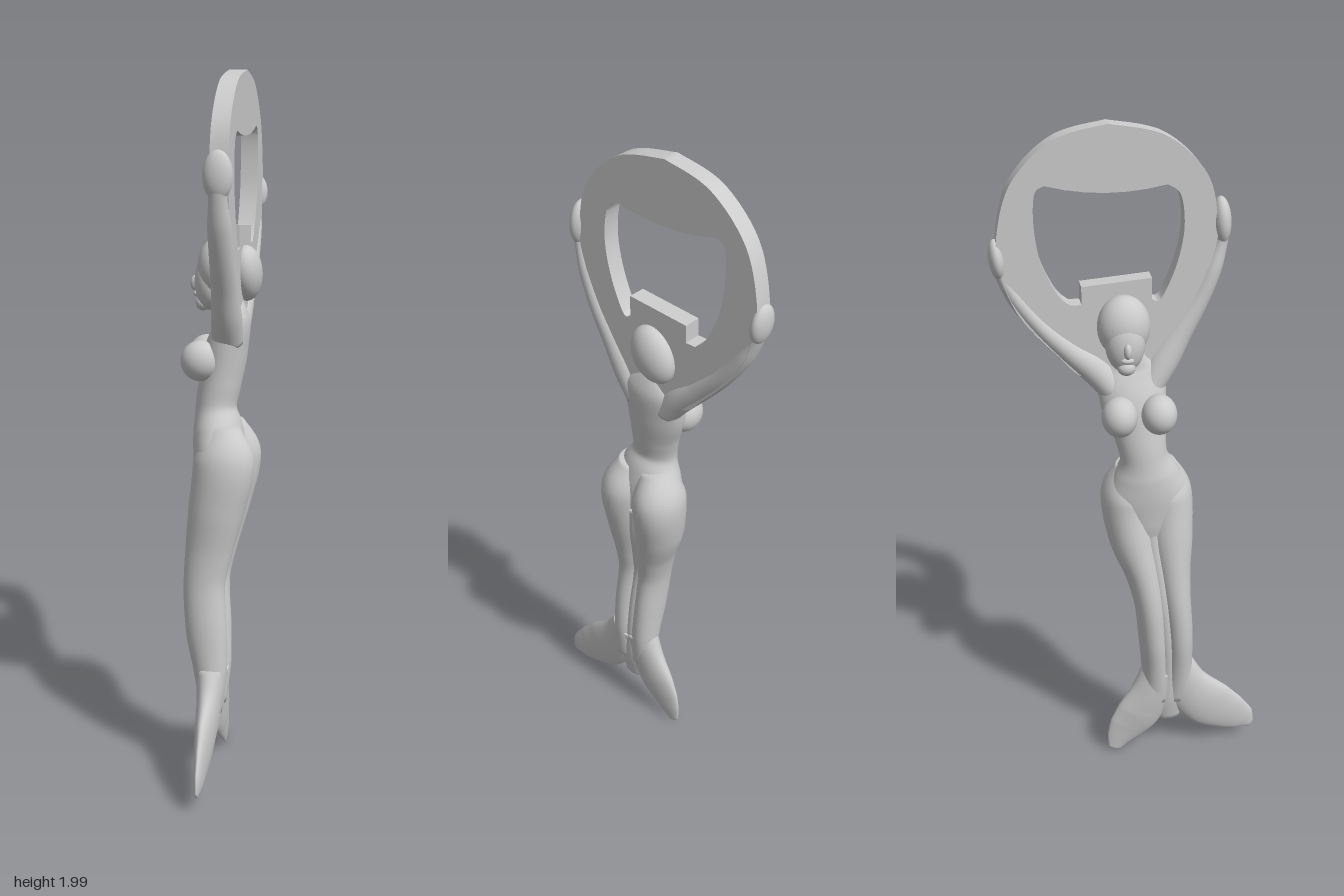
import * as THREE from 'three';
import { toCreasedNormals } from 'three/addons/utils/BufferGeometryUtils.js';

const material = new THREE.MeshStandardMaterial({ color: 0xcccccc });

function add(group, name, geometry) {
  const mesh = new THREE.Mesh(geometry, material);
  mesh.name = name;
  group.add(mesh);
  return mesh;
}

// Smooth body through elliptical sections [x, y, z, halfWidth, halfDepth]
function loft(sections, steps = 40, sides = 28) {
  const centre = new THREE.CatmullRomCurve3(sections.map(s => new THREE.Vector3(s[0], s[1], s[2])));
  const radii = new THREE.CatmullRomCurve3(sections.map(s => new THREE.Vector3(s[3], s[4], 0)));
  const depth = new THREE.Vector3(0, 0, 1);
  const pos = [], index = [];
  for (let i = -1; i <= steps + 1; i++) {
    const t = Math.min(Math.max(i / steps, 0), 1);
    const c = centre.getPoint(t);
    const r = radii.getPoint(t);
    if (i < 0 || i > steps) r.set(0, 0, 0); // closed ends
    const tangent = centre.getTangent(t);
    const side = tangent.clone().cross(depth).normalize();
    const front = side.clone().cross(tangent).normalize();
    for (let j = 0; j < sides; j++) {
      const a = (j / sides) * Math.PI * 2;
      const p = c.clone().addScaledVector(side, r.x * Math.cos(a)).addScaledVector(front, r.y * Math.sin(a));
      pos.push(p.x, p.y, p.z);
    }
  }
  for (let i = 0; i < steps + 2; i++) {
    for (let j = 0; j < sides; j++) {
      const a = i * sides + j, b = i * sides + (j + 1) % sides;
      index.push(a, a + sides, b, b, a + sides, b + sides);
    }
  }
  const g = new THREE.BufferGeometry();
  g.setAttribute('position', new THREE.Float32BufferAttribute(pos, 3));
  g.setIndex(index);
  g.computeVertexNormals();
  return g;
}

function ellipsoid(group, name, [x, y, z], [rx, ry, rz], tilt = 0) {
  const mesh = add(group, name, new THREE.SphereGeometry(1, 28, 20));
  mesh.position.set(x, y, z);
  mesh.scale.set(rx, ry, rz);
  mesh.rotation.z = tilt;
  return mesh;
}

const vec = p => new THREE.Vector2(p[0], p[1]);

// Egg-shaped opener ring with its shaped hole and prying tab
function openerRing(group) {
  const outline = [[-0.2, 1.965], [-0.31, 1.86], [-0.352, 1.72], [-0.345, 1.62], [-0.3, 1.5], [-0.2, 1.38],
    [-0.12, 1.31], [0.03, 1.31], [0.1, 1.4], [0.17, 1.52], [0.215, 1.63], [0.23, 1.72], [0.2, 1.86],
    [0.09, 1.965], [-0.06, 2.0]].map(vec);
  const shape = new THREE.Shape();
  shape.moveTo(-0.06, 2.0);
  shape.splineThru(outline);
  const hole = new THREE.Path();
  hole.moveTo(0.095, 1.84);
  hole.quadraticCurveTo(-0.07, 1.805, -0.225, 1.85);
  hole.splineThru([[-0.25, 1.83], [-0.255, 1.75], [-0.24, 1.65], [-0.2, 1.56], [-0.165, 1.525]].map(vec));
  hole.lineTo(-0.135, 1.525);
  hole.lineTo(-0.135, 1.575);
  hole.lineTo(0.055, 1.59);
  hole.lineTo(0.055, 1.53);
  hole.splineThru([[0.08, 1.53], [0.12, 1.62], [0.14, 1.72], [0.13, 1.81], [0.095, 1.84]].map(vec));
  shape.holes.push(hole);
  const g = new THREE.ExtrudeGeometry(shape, { depth: 0.05, bevelEnabled: false, curveSegments: 6 });
  g.translate(0, 0, -0.045);
  add(group, 'openerRing', toCreasedNormals(g, 0.6));
}

export function createModel() {
  const model = new THREE.Group();
  model.name = 'figureBottleOpener';
  const figure = new THREE.Group();
  figure.name = 'figure';
  figure.rotation.y = -0.927;
  model.add(figure);

  openerRing(figure);

  // Neck, chest, waist and hips
  add(figure, 'torso', loft([
    [-0.015, 1.43, 0.01, 0.03, 0.03], [-0.005, 1.37, -0.01, 0.045, 0.035], [0, 1.32, -0.018, 0.095, 0.047],
    [0.005, 1.24, 0, 0.093, 0.06], [0.02, 1.15, 0.015, 0.075, 0.06], [0.03, 1.08, 0.025, 0.067, 0.058],
    [0.038, 1.02, 0.018, 0.092, 0.07], [0.045, 0.94, 0.01, 0.122, 0.074], [0.05, 0.85, 0.01, 0.1, 0.065],
    [0.06, 0.76, 0.02, 0.04, 0.04]], 60, 36));

  // Flesh joining the two legs
  add(figure, 'legWeb', loft([
    [0.048, 0.9, 0.0, 0.05, 0.065], [0.057, 0.8, 0.01, 0.045, 0.062], [0.075, 0.68, 0.03, 0.04, 0.052],
    [0.088, 0.58, 0.042, 0.035, 0.045], [0.1, 0.45, 0.035, 0.033, 0.045], [0.108, 0.32, 0.022, 0.035, 0.038],
    [0.115, 0.2, 0.018, 0.05, 0.028], [0.12, 0.12, 0.017, 0.03, 0.012]]));

  for (const s of [-1, 1]) {
    const name = s > 0 ? 'left' : 'right';
    add(figure, name + 'Leg', loft([
      [0.042 + s * 0.04, 1.03, 0, 0.045, 0.05], [0.045 + s * 0.06, 0.93, -0.01, 0.073, 0.087],
      [0.056 + s * 0.055, 0.8, 0.01, 0.069, 0.08], [0.075 + s * 0.044, 0.68, 0.03, 0.053, 0.068],
      [0.088 + s * 0.04, 0.58, 0.042, 0.045, 0.06], [0.1 + s * 0.04, 0.45, 0.035, 0.043, 0.059],
      [0.108 + s * 0.037, 0.32, 0.022, 0.042, 0.048], [0.115 + s * 0.035, 0.2, 0.018, 0.045, 0.03]], 50));
    ellipsoid(figure, name + 'Breast', [0.012 + s * 0.055, 1.215, 0.063], [0.05, 0.057, 0.056]);
  }

  // Tail fin lobes
  add(figure, 'leftFin', loft([
    [0.14, 0.32, 0.02, 0.055, 0.042], [0.175, 0.235, 0.02, 0.073, 0.035], [0.245, 0.16, 0.02, 0.083, 0.027],
    [0.31, 0.115, 0.018, 0.068, 0.018], [0.36, 0.08, 0.016, 0.045, 0.011], [0.387, 0.055, 0.016, 0.012, 0.004]]));
  add(figure, 'rightFin', loft([
    [0.085, 0.32, 0.02, 0.055, 0.042], [0.06, 0.23, 0.02, 0.066, 0.035], [0.02, 0.15, 0.018, 0.072, 0.027],
    [-0.014, 0.1, 0.016, 0.062, 0.018], [-0.04, 0.055, 0.014, 0.042, 0.011], [-0.058, 0.012, 0.014, 0.018, 0.004]]));

  // Raised arms with hands gripping the ring
  add(figure, 'leftArm', loft([
    [0.05, 1.27, -0.01, 0.04, 0.045], [0.09, 1.34, -0.015, 0.043, 0.043], [0.135, 1.42, -0.018, 0.036, 0.037],
    [0.185, 1.51, -0.02, 0.03, 0.034], [0.222, 1.6, -0.02, 0.027, 0.032], [0.245, 1.68, -0.02, 0.019, 0.025],
    [0.25, 1.73, -0.02, 0.02, 0.03]]));
  ellipsoid(figure, 'leftHand', [0.244, 1.73, -0.02], [0.026, 0.065, 0.04], 0.05);
  add(figure, 'rightArm', loft([
    [-0.05, 1.27, -0.01, 0.04, 0.045], [-0.1, 1.33, -0.015, 0.042, 0.042], [-0.17, 1.39, -0.018, 0.034, 0.036],
    [-0.245, 1.465, -0.02, 0.028, 0.033], [-0.305, 1.545, -0.02, 0.025, 0.03], [-0.34, 1.61, -0.02, 0.018, 0.025],
    [-0.35, 1.65, -0.02, 0.018, 0.03]]));
  ellipsoid(figure, 'rightHand', [-0.352, 1.655, -0.02], [0.022, 0.055, 0.04], 0.1);

  // Head, facial features and hair on both sides of the ring
  ellipsoid(figure, 'face', [-0.025, 1.425, 0.05], [0.054, 0.08, 0.046]);
  ellipsoid(figure, 'chin', [-0.025, 1.365, 0.072], [0.025, 0.022, 0.022]);
  ellipsoid(figure, 'nose', [-0.025, 1.42, 0.095], [0.011, 0.022, 0.014]);
  ellipsoid(figure, 'lips', [-0.025, 1.392, 0.09], [0.018, 0.009, 0.01]);
  ellipsoid(figure, 'hair', [-0.025, 1.465, 0.025], [0.072, 0.087, 0.063]);
  ellipsoid(figure, 'hairBun', [-0.03, 1.45, -0.05], [0.066, 0.083, 0.045], -0.5);
  return model;
}
